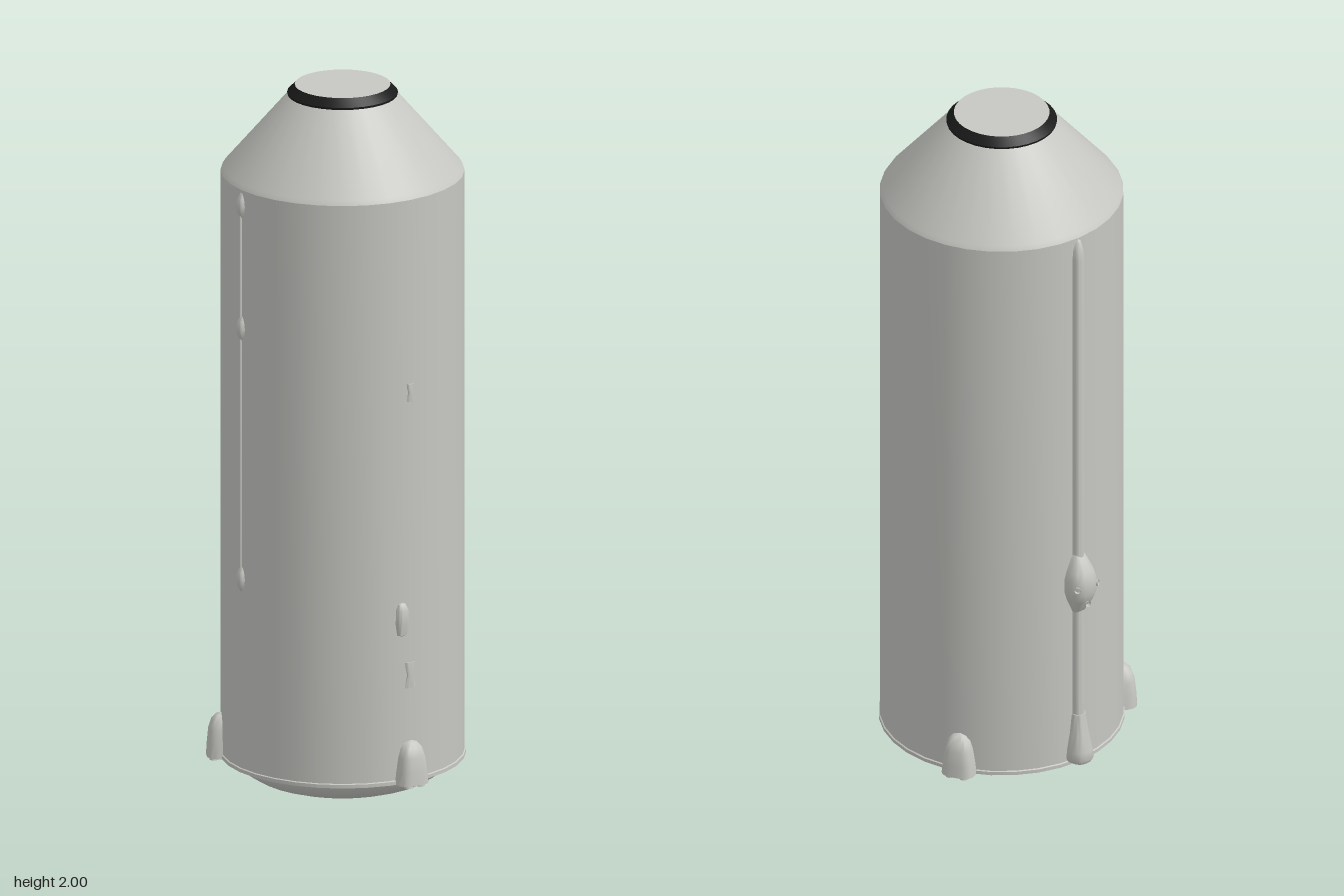
import * as THREE from 'three';
import { toCreasedNormals } from 'three/addons/utils/BufferGeometryUtils.js';

const R = 0.3325;      // hull radius
const SEGMENTS = 32;

export function createModel() {
  const model = new THREE.Group();
  model.name = 'rocketStage';
  const hullGrey = new THREE.MeshStandardMaterial({ color: 0xc6c6c2, side: THREE.DoubleSide });
  hullGrey.name = 'hullGrey';
  const black = new THREE.MeshStandardMaterial({ color: 0x1a1a1a });
  black.name = 'black';

  const add = (name, geometry, material = hullGrey, parent = model) => {
    const mesh = new THREE.Mesh(geometry, material);
    mesh.name = name;
    parent.add(mesh);
    return mesh;
  };
  const lathe = (points) => toCreasedNormals(
    new THREE.LatheGeometry(points.map(([r, y]) => new THREE.Vector2(r, y)), SEGMENTS), 0.45);

  // Half-elliptic fairing lofted through [y, halfWidth, depth] sections, bulging to +z
  const fairing = (sections, power = 1, steps = 14) => {
    const positions = [], indices = [];
    for (const [y, w, d] of sections) {
      for (let i = 0; i <= steps; i++) {
        const a = Math.PI * i / steps, c = Math.cos(a), s = Math.max(0, Math.sin(a));
        positions.push(w * Math.sign(c) * Math.abs(c) ** power, y, d * s ** power);
      }
    }
    const row = steps + 1;
    for (let j = 0; j < sections.length - 1; j++) {
      for (let i = 0; i < steps; i++) {
        const a = j * row + i, b = a + 1, c = a + row, d = c + 1;
        indices.push(a, c, b, b, c, d);
      }
    }
    const g = new THREE.BufferGeometry();
    g.setAttribute('position', new THREE.Float32BufferAttribute(positions, 3));
    g.setIndex(indices);
    return toCreasedNormals(g, 0.7);
  };

  // Group standing on the hull wall at an angle measured from the front towards +x
  const onWall = (name, degrees) => {
    const a = THREE.MathUtils.degToRad(degrees), g = new THREE.Group();
    g.name = name;
    g.position.set(Math.sin(a) * 0.32, 0, Math.cos(a) * 0.32);
    g.rotation.y = a;
    model.add(g);
    return g;
  };

  // Hull: skirt lip, cylinder and shoulder cone
  add('hull', lathe([[0.3, 0.1], [0.336, 0.094], [0.336, 0.104], [R, 0.106], [R, 1.755],
    [0.325, 1.768], [0.15, 1.972]]));
  add('noseRing', lathe([[0.15, 1.972], [0.151, 1.978], [0.13, 2]]), black);
  const cap = add('noseCap', new THREE.CircleGeometry(0.1305, SEGMENTS));
  cap.rotation.x = -Math.PI / 2;
  cap.position.y = 2;

  // Dished bottom
  add('bottomDome', lathe([[0, 0], [0.08, 0.004], [0.15, 0.013], [0.2, 0.023], [0.24, 0.037],
    [0.27, 0.055], [0.29, 0.076], [0.3, 0.1]]));

  // Three feet around the skirt
  for (const degrees of [0, 120, 240]) {
    const foot = onWall('foot', degrees);
    add('footFairing', fairing([[0.094, 0, 0], [0.094, 0.048, 0.052], [0.13, 0.044, 0.05],
      [0.17, 0.038, 0.046], [0.195, 0.031, 0.038], [0.209, 0.019, 0.026], [0.215, 0, 0.01]], 0.6),
    hullGrey, foot);
    for (const x of [-0.02, 0.02]) {
      const pin = add('footPin', new THREE.CylinderGeometry(0.011, 0.013, 0.012, 10), hullGrey, foot);
      pin.position.set(x, 0.092, 0.032);
    }
  }

  // Large conduit along the back, with flared shoe and thruster pod
  const conduit = onWall('backConduit', 179);
  add('conduitPipe', fairing([[0.2, 0.02, 0.03], [1.69, 0.02, 0.03], [1.72, 0.018, 0.026],
    [1.745, 0.011, 0.019], [1.755, 0, 0.008]]), hullGrey, conduit);
  add('conduitShoe', fairing([[0.104, 0, 0], [0.104, 0.034, 0.05], [0.115, 0.039, 0.056],
    [0.14, 0.037, 0.053], [0.19, 0.028, 0.042], [0.25, 0.021, 0.032], [0.25, 0, 0]], 0.8),
  hullGrey, conduit);
  add('thrusterPod', fairing([[0.565, 0.015, 0.02], [0.59, 0.025, 0.036], [0.62, 0.038, 0.054],
    [0.645, 0.045, 0.063], [0.685, 0.045, 0.063], [0.71, 0.038, 0.054], [0.74, 0.026, 0.036],
    [0.765, 0.015, 0.02]], 0.75), hullGrey, conduit);
  for (const [x, y, z] of [[-0.032, 0.667, 0.05], [0.032, 0.667, 0.05], [0, 0.613, 0.05]]) {
    const nozzle = add('podNozzle', new THREE.CylinderGeometry(0.009, 0.007, 0.014, 12, 1, true), hullGrey, conduit);
    nozzle.position.set(x, y, z);
    nozzle.rotation.set(Math.PI / 2, 0, -x * 20);
  }

  // Thin side conduit with three small pods
  const line = onWall('sideConduit', 270);
  add('linePipe', fairing([[0.63, 0.006, 0.017], [1.74, 0.006, 0.017], [1.755, 0, 0.01]]), hullGrey, line);
  for (const y of [0.645, 1.36, 1.71]) {
    const pod = add('linePod', fairing([[-0.042, 0.006, 0.008], [-0.02, 0.015, 0.022],
      [0, 0.017, 0.026], [0.02, 0.014, 0.023], [0.042, 0.006, 0.01]], 0.8), hullGrey, line);
    pod.position.y = y;
  }

  // Small fittings on the front wall
  const fittings = onWall('frontFittings', 0);
  const latch = add('latch', fairing([[-0.047, 0, 0.01], [-0.042, 0.016, 0.019], [-0.01, 0.02, 0.024],
    [0.03, 0.019, 0.024], [0.046, 0.012, 0.017], [0.05, 0, 0.01]], 0.7), hullGrey, fittings);
  latch.position.set(-0.026, 0.56, 0);
  for (const [y, size] of [[0.4, 1], [1.205, 0.7]]) {
    const bracket = add('bracket', fairing([[-0.036, 0, 0], [-0.036, 0.021, 0.015], [0, 0.012, 0.018],
      [0.036, 0.021, 0.015], [0.036, 0, 0]], 0.7), hullGrey, fittings);
    bracket.scale.set(size, size, 1);
    bracket.position.y = y;
  }

  model.position.set(0.004, 0, 0.005);
  const root = new THREE.Group();
  root.name = 'model';
  root.add(model);
  return root;
}
